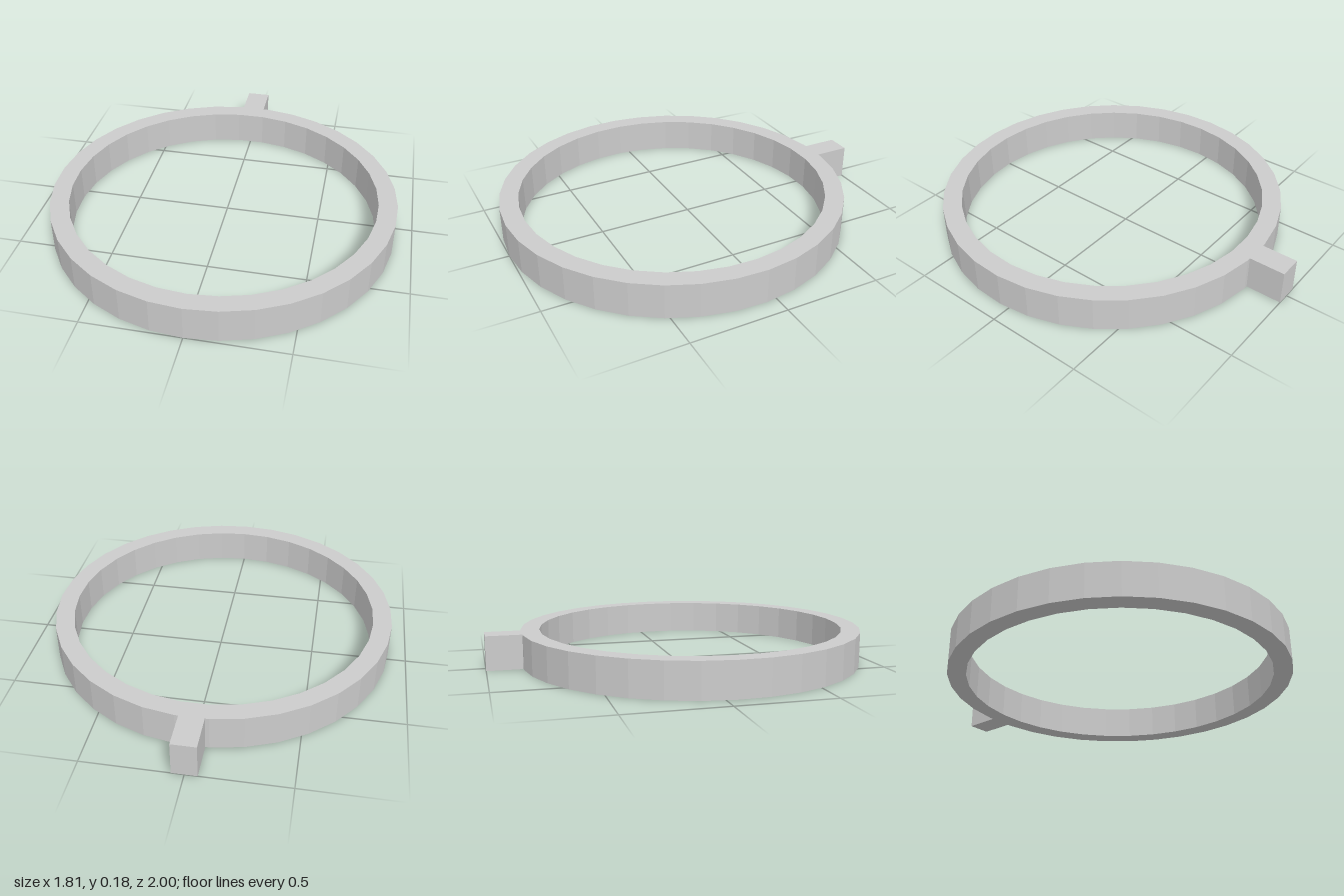
import * as THREE from 'three';

const SIDES = 35, OUTER = 0.908, INNER = 0.81, CENTRE_Z = 0.092;
const HEIGHT = 0.18, TAB_HALF = 0.062;

// Corner i of a ring polygon; corner 0 points to the front, a flat side faces the back
function corner(i, radius) {
  const a = (i / SIDES) * Math.PI * 2;
  return new THREE.Vector2(Math.sin(a) * radius, -CENTRE_Z - Math.cos(a) * radius);
}

export function createModel() {
  const group = new THREE.Group();
  group.name = 'tabbedRing';

  // Outer outline, with the tab stepping out of the flat back side
  const outline = [];
  const backY = corner((SIDES - 1) / 2, OUTER).y;
  for (let i = 0; i < SIDES; i++) {
    outline.push(corner(i, OUTER));
    if (i === (SIDES - 1) / 2) {
      outline.push(
        new THREE.Vector2(TAB_HALF, backY), new THREE.Vector2(TAB_HALF, 1),
        new THREE.Vector2(-TAB_HALF, 1), new THREE.Vector2(-TAB_HALF, backY));
    }
  }
  const shape = new THREE.Shape(outline);

  // Open middle
  const hole = [];
  for (let i = 0; i < SIDES; i++) hole.push(corner(i, INNER));
  shape.holes.push(new THREE.Path(hole));

  // Raise the outline into a flat-sided band lying on the ground
  const geometry = new THREE.ExtrudeGeometry(shape, { depth: HEIGHT, bevelEnabled: false });
  geometry.rotateX(-Math.PI / 2);
  const ring = new THREE.Mesh(geometry,
    new THREE.MeshStandardMaterial({ color: 0xcccccc, flatShading: true }));
  ring.name = 'ringWithTab';
  group.add(ring);
  return group;
}
